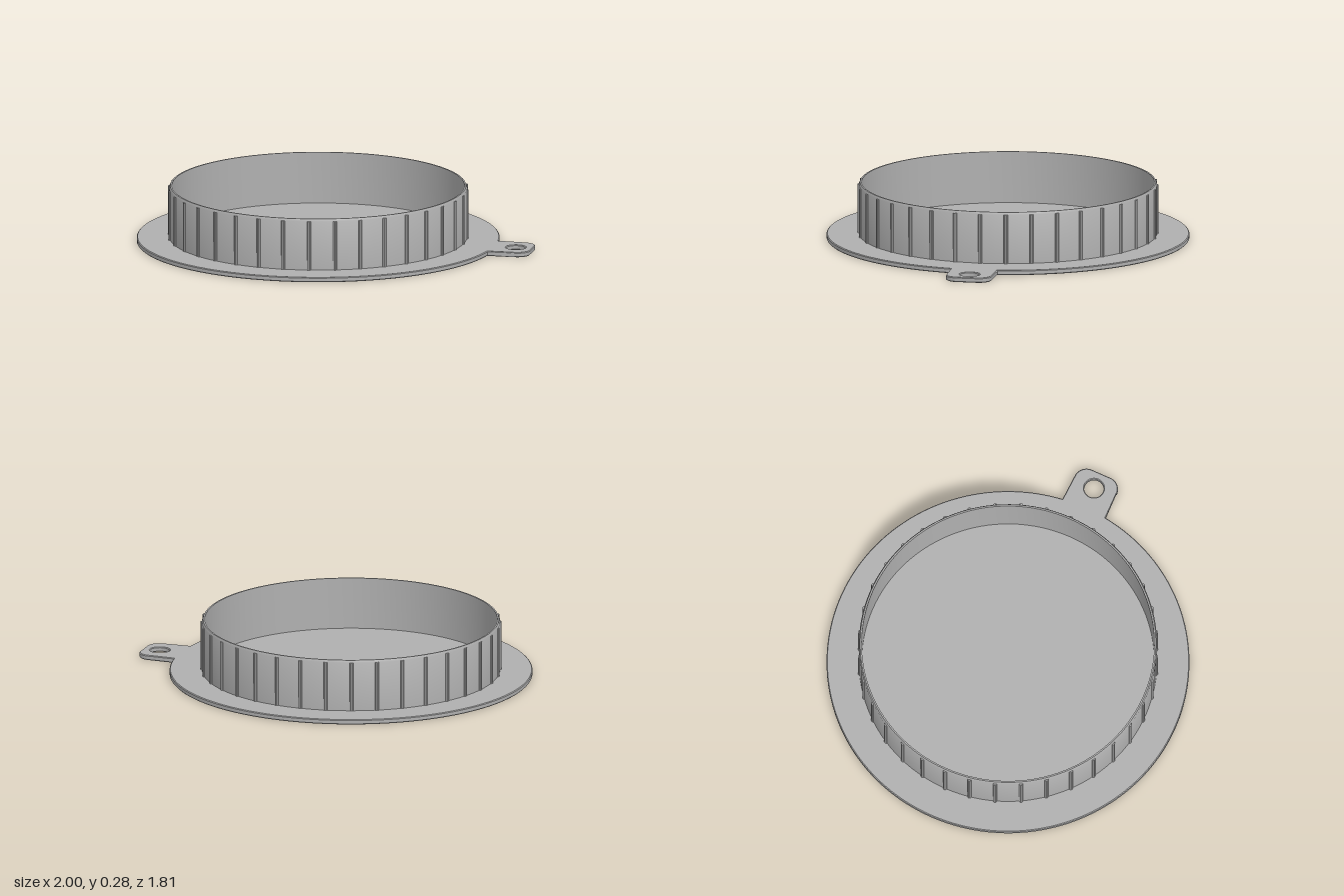
import * as THREE from 'three';
import { toCreasedNormals } from 'three/addons/utils/BufferGeometryUtils.js';

const CX = -0.097;      // axis of the round lid
const PLATE_R = 0.903;
const PLATE_H = 0.025;
const TOP = 0.285;

export function createModel() {
  const grey = new THREE.MeshStandardMaterial({ color: 0xb0b0b0 });
  grey.name = 'grey plastic';
  const model = new THREE.Group();
  model.name = 'lid';

  const add = (name, geometry, parent = model) => {
    const mesh = new THREE.Mesh(toCreasedNormals(geometry, 0.5), grey);
    mesh.name = name;
    parent.add(mesh);
    return mesh;
  };

  // Flange disc and hanging tab share one outline, with a hole in the tab
  const half = 0.115, end = 1.0, r = 0.06, bevel = 0.004;
  const a = Math.asin(half / PLATE_R);
  const outline = new THREE.Shape();
  outline.absarc(CX, 0, PLATE_R - bevel, a, Math.PI * 2 - a, false);
  outline.lineTo(end - r, -half + bevel);
  outline.absarc(end - r - bevel, -half + r + bevel, r, -Math.PI / 2, 0, false);
  outline.absarc(end - r - bevel, half - r - bevel, r, 0, Math.PI / 2, false);
  outline.closePath();
  const hole = new THREE.Path();
  hole.absarc(0.915, 0, 0.049 + bevel, 0, Math.PI * 2, true);
  outline.holes.push(hole);
  const plate = new THREE.ExtrudeGeometry(outline, {
    depth: PLATE_H - 2 * bevel, curveSegments: 72,
    bevelEnabled: true, bevelThickness: bevel, bevelSize: bevel, bevelSegments: 1,
  });
  plate.rotateX(-Math.PI / 2).translate(0, bevel, 0);
  add('flangeWithTab', plate);

  // Thin upright wall, chamfered at the outer rim
  const profile = [
    [0.742, PLATE_H - 0.005], [0.742, TOP - 0.012], [0.736, TOP],
    [0.728, TOP], [0.728, PLATE_H - 0.005],
  ].map(([x, y]) => new THREE.Vector2(x, y));
  add('wall', new THREE.LatheGeometry(profile, 120)).position.x = CX;

  // Slim grip ribs every ten degrees
  const ribs = new THREE.Group();
  ribs.name = 'gripRibs';
  ribs.position.x = CX;
  model.add(ribs);
  const ribHeight = TOP - 0.012 - PLATE_H + 0.005;
  const ribShape = new THREE.CylinderGeometry(0.011, 0.011, ribHeight, 10);
  for (let i = 0; i < 36; i++) {
    const t = (i / 36) * Math.PI * 2;
    const rib = add('rib', ribShape, ribs);
    rib.position.set(Math.cos(t) * 0.739, PLATE_H - 0.005 + ribHeight / 2, Math.sin(t) * 0.739);
    rib.rotation.y = -t;
  }

  // Lathe faces follow the profile upward on the outside
  grey.side = THREE.DoubleSide;
  return model;
}
